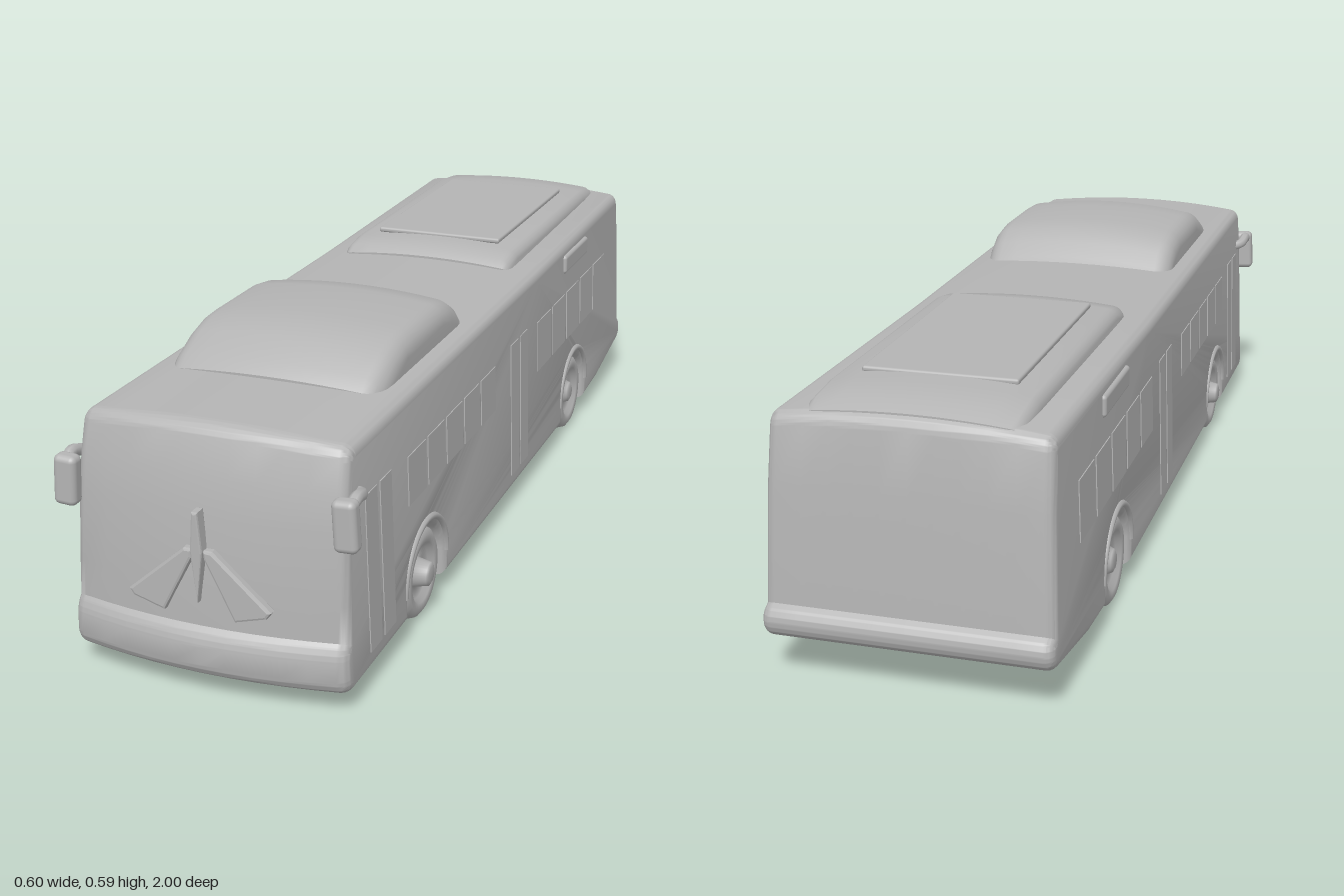
import * as THREE from 'three';
import { toCreasedNormals } from 'three/addons/utils/BufferGeometryUtils.js';
import { RoundedBoxGeometry } from 'three/addons/geometries/RoundedBoxGeometry.js';

const grey = new THREE.MeshStandardMaterial({ color: 0xb4b4b4 });
grey.name = 'plain grey';

const WHEELS = [-0.515, 0.555]; // z of the axles
const sideX = (y) => 0.277 - 0.03 * (y - 0.05); // sloping side wall

function add(group, name, geometry, x = 0, y = 0, z = 0) {
  const mesh = new THREE.Mesh(geometry, grey);
  mesh.name = name;
  mesh.position.set(x, y, z);
  group.add(mesh);
  return mesh;
}

// Extrude a (z, y) side profile across x, then bend it with a rule
function across(shape, halfWidth, bevel, rule) {
  const depth = 2 * (halfWidth - bevel);
  const g = new THREE.ExtrudeGeometry(shape, {
    depth, steps: 10, curveSegments: 20, bevelEnabled: true,
    bevelThickness: bevel, bevelSize: bevel, bevelOffset: -bevel, bevelSegments: 5,
  });
  g.translate(0, 0, -depth / 2).rotateY(-Math.PI / 2);
  const p = g.attributes.position;
  const v = new THREE.Vector3();
  for (let i = 0; i < p.count; i++) {
    rule(v.fromBufferAttribute(p, i));
    p.setXYZ(i, v.x, v.y, v.z);
  }
  return toCreasedNormals(g, 0.6);
}

function bodyGeometry() {
  const s = new THREE.Shape();
  s.moveTo(0.96, 0.047);
  // front bumper and windscreen
  s.quadraticCurveTo(0.997, 0.05, 1.0, 0.08);
  s.lineTo(1.0, 0.115);
  s.quadraticCurveTo(0.997, 0.137, 0.982, 0.15);
  s.lineTo(0.979, 0.22);
  s.lineTo(0.968, 0.36);
  s.lineTo(0.954, 0.43);
  s.lineTo(0.937, 0.495);
  s.quadraticCurveTo(0.93, 0.52, 0.9, 0.52);
  // roof and tail
  s.lineTo(-0.2, 0.52);
  s.lineTo(-0.92, 0.53);
  s.quadraticCurveTo(-0.945, 0.53, -0.95, 0.5);
  s.lineTo(-0.965, 0.38);
  s.lineTo(-0.98, 0.16);
  s.quadraticCurveTo(-1.0, 0.15, -1.0, 0.13);
  s.quadraticCurveTo(-1.0, 0.097, -0.96, 0.09);
  s.lineTo(-0.75, 0.055);
  // floor with wheel arches
  for (const z of WHEELS) {
    const r = 0.1;
    s.lineTo(z - r, 0.047);
    s.lineTo(z - r, 0.1);
    s.absarc(z, 0.1, r, Math.PI, 0, true);
    s.lineTo(z + r, 0.047);
  }
  s.closePath();
  return across(s, 0.277, 0.02, (v) => {
    const t = (v.x / 0.277) ** 2;
    if (v.z > 0.85) v.z -= 0.035 * t * (v.z - 0.85) / 0.15;
    if (v.y > 0.46) v.y -= 0.016 * t;
    v.x *= sideX(v.y) / 0.277;
  });
}

function roofPod(points, halfWidth, bevel, crown) {
  const s = new THREE.Shape(points.map(([z, y]) => new THREE.Vector2(z, y)));
  return across(s, halfWidth, bevel, (v) => {
    const t = (v.x / halfWidth) ** 2;
    v.y -= crown * t;
    if (v.z > 0.5) v.z -= 0.02 * t;
  });
}

// Two-row tyre with a rim and hub, outer side facing +x
function wheelGeometry(hub) {
  const pts = [
    [0, 0.135], [0.075, 0.135], [0.09, 0.142], [0.095, 0.155], [0.094, 0.18], [0.084, 0.196],
    [0.094, 0.211], [0.095, 0.245], [0.09, 0.26], [0.078, 0.268], [0.062, 0.266], [0.054, 0.255],
    [0.03, 0.25], [0.024, hub - 0.004], [0.016, hub], [0, hub],
  ];
  const g = new THREE.LatheGeometry(pts.map(([r, h]) => new THREE.Vector2(r, h)), 32);
  return g.rotateZ(-Math.PI / 2);
}

function slab(points, depth, bevel) {
  const s = new THREE.Shape(points.map(([x, y]) => new THREE.Vector2(x, y)));
  return new THREE.ExtrudeGeometry(s, {
    depth, bevelEnabled: true, bevelThickness: bevel, bevelSize: bevel, bevelOffset: -bevel, bevelSegments: 2,
  });
}

export function createModel() {
  const bus = new THREE.Group();
  bus.name = 'bus';
  add(bus, 'body', bodyGeometry());

  // Roof equipment
  add(bus, 'frontRoofPod', roofPod([
    [0.69, 0.44], [0.69, 0.525], [0.665, 0.545], [0.6, 0.575], [0.55, 0.588], [0.48, 0.591],
    [0.32, 0.591], [0.26, 0.582], [0.22, 0.56], [0.19, 0.53], [0.17, 0.515], [0.17, 0.44],
  ], 0.222, 0.035, 0.018));
  add(bus, 'rearRoofPod', roofPod([
    [-0.165, 0.44], [-0.165, 0.525], [-0.185, 0.54], [-0.24, 0.549], [-0.82, 0.553],
    [-0.9, 0.545], [-0.935, 0.53], [-0.935, 0.44],
  ], 0.205, 0.025, 0.012));
  add(bus, 'rearRoofHatch', new RoundedBoxGeometry(0.3, 0.012, 0.52, 2, 0.005), 0, 0.55, -0.52);

  // Closed underside between the wheel wells
  for (const z of WHEELS) add(bus, 'axleTunnel', new THREE.BoxGeometry(0.24, 0.165, 0.23), 0, 0.1305, z);

  for (const side of [1, -1]) {
    WHEELS.forEach((z, i) => {
      const wheel = add(bus, i ? 'frontWheel' : 'rearWheel', wheelGeometry(i ? 0.284 : 0.268), 0, 0.1, z);
      if (side < 0) wheel.rotation.y = Math.PI;
      const lip = add(bus, 'archLip', new THREE.TorusGeometry(0.116, 0.007, 6, 24, Math.PI), side * 0.272, 0.1, z);
      lip.rotation.y = Math.PI / 2;
    });

    // Thin plates that follow the sloping side
    const plate = (name, z, y, length, height) => {
      const m = add(bus, name, new THREE.BoxGeometry(0.006, height, length), side * (sideX(y) - 0.001), y, z);
      m.rotation.z = side * 0.03;
    };
    for (let i = 0; i < 5; i++) plate('frontWindow', 0.6 - i * 0.108, 0.335, 0.095, 0.1);
    for (let i = 0; i < 5; i++) plate('rearWindow', -0.25 - i * 0.125, 0.325, 0.11, 0.12);
    for (const z of [0.83, 0.76, -0.02, -0.09]) plate('doorLeaf', z, 0.24, 0.055, 0.31);

    // Small side bulge above the rear axle
    add(bus, 'sideVent', new RoundedBoxGeometry(0.02, 0.045, 0.2, 2, 0.008), side * 0.262, 0.46, -0.52);

    // Mirror on a bent arm
    const arm = new THREE.CatmullRomCurve3([
      [0.25, 0.41, 0.87], [0.274, 0.415, 0.89], [0.281, 0.425, 0.93], [0.277, 0.41, 0.955],
    ].map(([x, y, z]) => new THREE.Vector3(side * x, y, z)));
    add(bus, 'mirrorArm', new THREE.TubeGeometry(arm, 12, 0.012, 8));
    const head = add(bus, 'mirrorHead', new RoundedBoxGeometry(0.046, 0.098, 0.034, 3, 0.012), side * 0.274, 0.384, 0.957);
    head.rotation.z = side * 0.05;

    // Wiper arms spreading from the centre of the front
    const blade = slab([[0.01, 0.302], [0.028, 0.302], [0.141, 0.203], [0.132, 0.19], [0.07, 0.172], [0.012, 0.285]]
      .map(([x, y]) => [side * x, y]), 0.012, 0.005);
    add(bus, 'wiperBlade', blade, 0, 0, 0.977).rotation.x = -0.02;
  }
  add(bus, 'wiperPost', slab([[-0.006, 0.377], [0.006, 0.377], [0.012, 0.3], [0, 0.2], [-0.012, 0.3]], 0.02, 0.004), 0, 0, 0.97);
  return bus;
}
